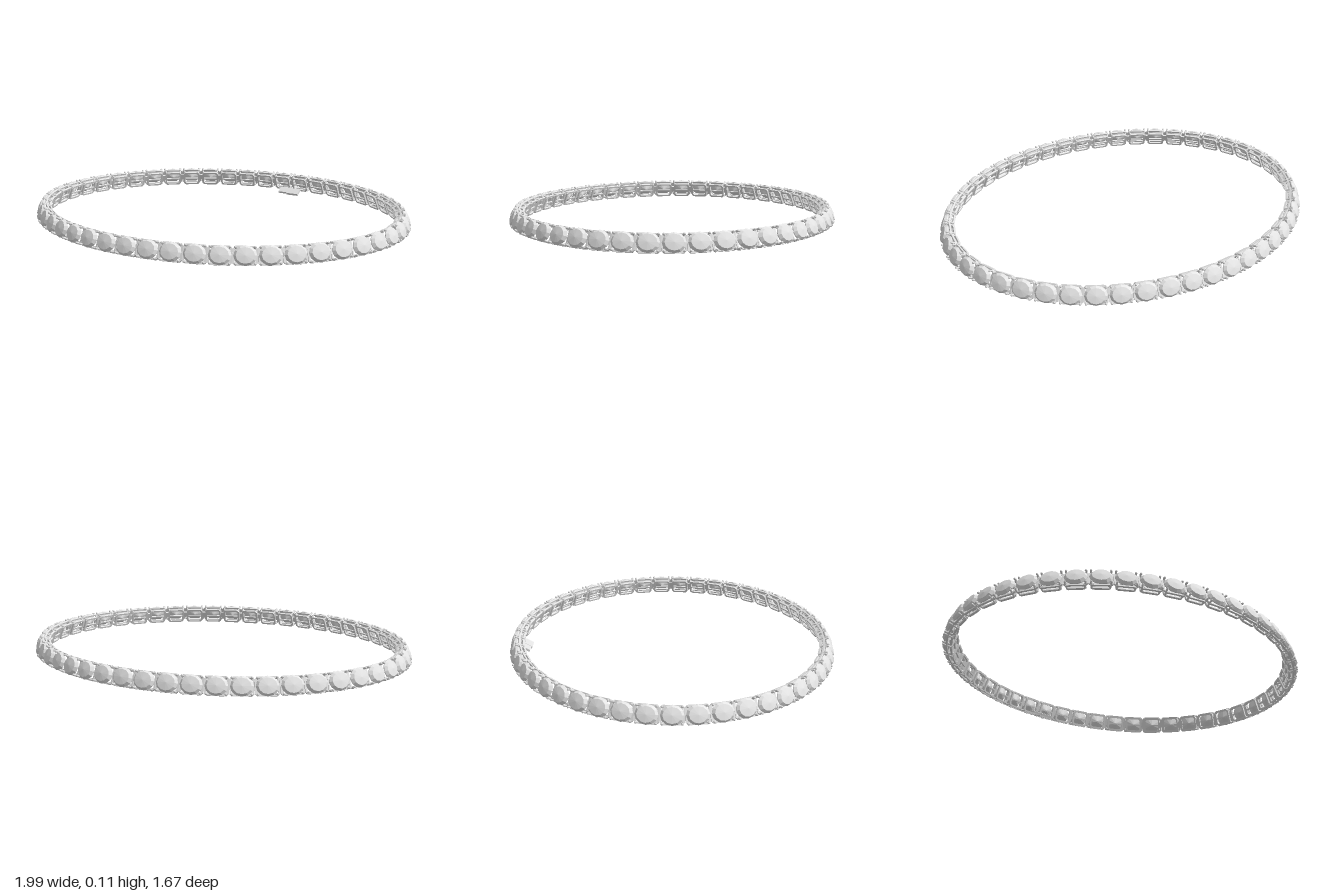
import * as THREE from 'three';
import { mergeGeometries } from 'three/addons/utils/BufferGeometryUtils.js';

const COUNT = 49, TILT = 0.37, Y = 0.075;

// Chamfered rectangular ring, back face at z
function frame(w, h, bar, cut, z, depth) {
  const outline = (a, b, c) => [[a - c, -b], [a, c - b], [a, b - c], [a - c, b], [c - a, b], [-a, b - c], [-a, c - b], [c - a, -b]]
    .map(([x, y]) => new THREE.Vector2(x, y));
  const shape = new THREE.Shape(outline(w, h, cut));
  shape.holes.push(new THREE.Path(outline(w - bar, h - bar, cut * 0.7).reverse()));
  return new THREE.ExtrudeGeometry(shape, { depth, bevelEnabled: false }).translate(0, 0, z);
}

// Faceted stone: pointed back, thin girdle, broad shallow crown
function stoneGeometry() {
  const profile = [[0, -0.04], [0.046, -0.015], [0.0465, -0.011], [0.037, 0.002], [0, 0.007]]
    .map(([r, y]) => new THREE.Vector2(r, y));
  const g = new THREE.LatheGeometry(profile, 12).rotateX(Math.PI / 2).scale(1.16, 1, 1).toNonIndexed();
  g.computeVertexNormals();
  return g;
}

// Open setting: wide outer rail, narrower inner rail with a middle bar, splayed prongs, hinge bar
function settingGeometry() {
  const parts = [
    frame(0.056, 0.045, 0.008, 0.012, -0.03, 0.009),
    frame(0.046, 0.041, 0.009, 0.01, -0.053, 0.01),
    new THREE.BoxGeometry(0.078, 0.007, 0.008).translate(0, -0.002, -0.049).toNonIndexed(),
    new THREE.BoxGeometry(0.03, 0.03, 0.01).translate(0.054, 0, -0.034).toNonIndexed(),
  ];
  for (const sx of [-1, 1]) for (const sy of [-1, 1]) {
    const path = new THREE.LineCurve3(new THREE.Vector3(sx * 0.039, sy * 0.036, -0.05), new THREE.Vector3(sx * 0.047, sy * 0.039, -0.007));
    parts.push(new THREE.TubeGeometry(path, 1, 0.005, 6).toNonIndexed());
    parts.push(new THREE.SphereGeometry(0.006, 6, 4).translate(sx * 0.045, sy * 0.038, -0.006).toNonIndexed());
  }
  return mergeGeometries(parts);
}

export function createModel() {
  const model = new THREE.Group();
  model.name = 'bracelet';
  const stoneMat = new THREE.MeshStandardMaterial({ color: 0xebebeb });
  stoneMat.name = 'clear stone';
  const metalMat = new THREE.MeshStandardMaterial({ color: 0xe3e3e3 });
  metalMat.name = 'pale metal';

  // Links spaced evenly around an oval, tipped slightly upward
  const A = 0.98, B = 0.82;
  const oval = new THREE.EllipseCurve(0, 0, A, B);
  oval.arcLengthDivisions = 1000;
  const stone = stoneGeometry(), setting = settingGeometry();
  for (let i = 0; i < COUNT; i++) {
    const p = oval.getPointAt((0.245 + i / COUNT) % 1);
    const link = new THREE.Group();
    link.name = 'link' + (i + 1);
    const gem = new THREE.Mesh(stone, stoneMat);
    gem.name = 'stone';
    const mount = new THREE.Mesh(setting, metalMat);
    mount.name = 'setting';
    link.add(gem, mount);
    link.position.set(p.x, Y, p.y);
    link.rotation.set(-TILT, Math.atan2(p.x / (A * A), p.y / (B * B)), 0, 'YXZ');
    model.add(link);
  }

  // Clasp tongue under the inside of the back
  const clasp = new THREE.Group();
  clasp.name = 'clasp';
  const box = (name, w, h, d, x, y, z) => {
    const m = new THREE.Mesh(new THREE.BoxGeometry(w, h, d), metalMat);
    m.name = name;
    m.position.set(x, y, z);
    clasp.add(m);
  };
  box('claspTongue', 0.065, 0.011, 0.042, -0.03, 0, -0.004);
  box('claspCatch', 0.07, 0.013, 0.046, 0.026, 0, 0);
  clasp.position.set(0.082, 0.0165, -0.75);
  clasp.rotation.set(0.5, -0.06, 0, 'YXZ');
  model.add(clasp);
  return model;
}
